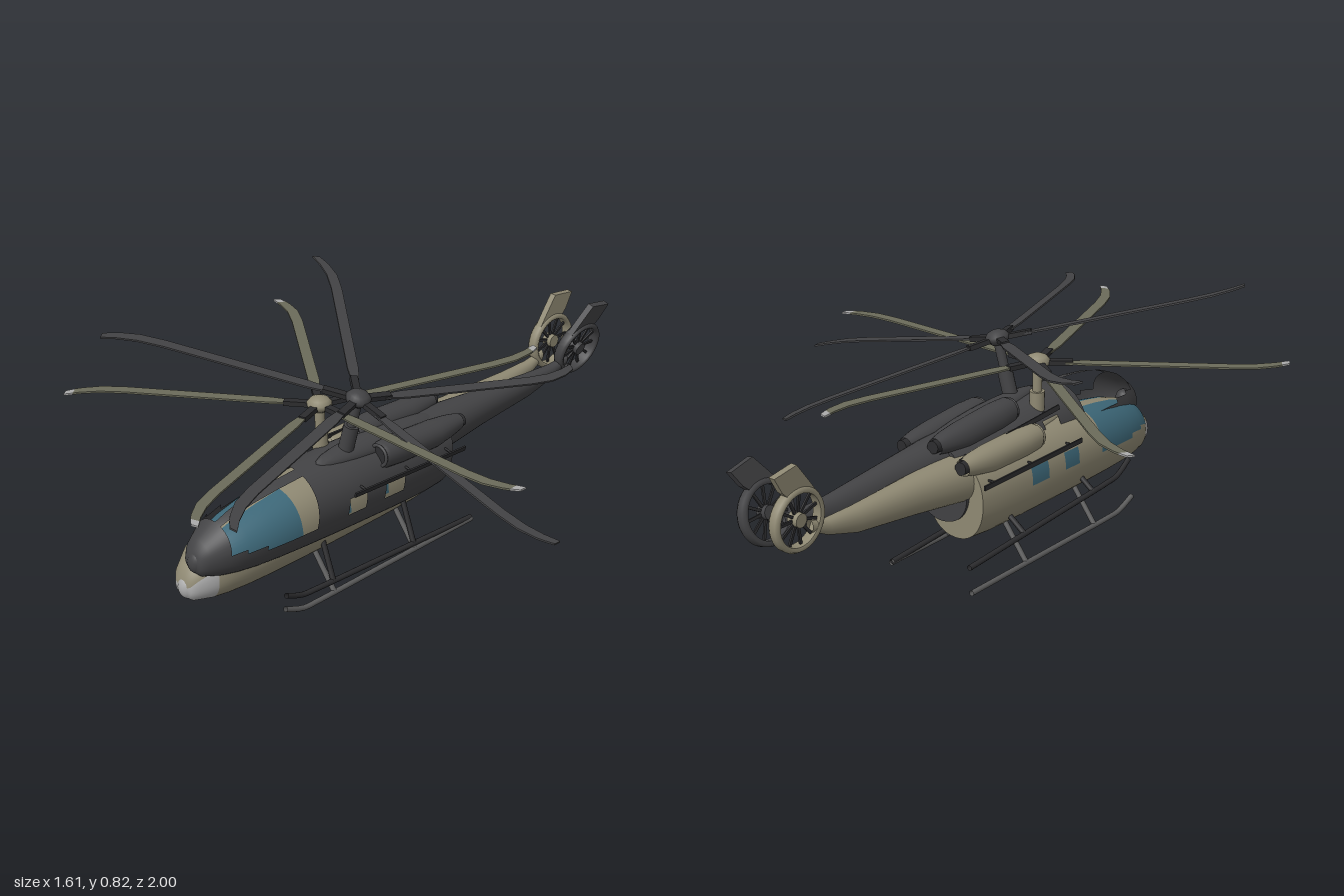
import * as THREE from 'three';

const mat = (name, color, side = THREE.DoubleSide) => {
  const m = new THREE.MeshStandardMaterial({ color, side });
  m.name = name;
  return m;
};

function add(parent, name, geometry, material, x = 0, y = 0, z = 0) {
  const mesh = new THREE.Mesh(geometry, material);
  mesh.name = name;
  mesh.position.set(x, y, z);
  parent.add(mesh);
  return mesh;
}

// Round bar between two points
function bar(parent, name, a, b, r, material, sides = 10) {
  const p = new THREE.Vector3(...a), q = new THREE.Vector3(...b);
  const d = q.clone().sub(p);
  const m = add(parent, name, new THREE.CylinderGeometry(r, r, d.length(), sides), material);
  m.position.copy(p).add(q).multiplyScalar(0.5);
  m.quaternion.setFromUnitVectors(new THREE.Vector3(0, 1, 0), d.normalize());
  return m;
}

// Skin over sections [z, bottom, top, halfWidth] running front to back;
// classify(z, angle above the side in degrees) picks the material, -1 leaves a hole
function loft(sections, n, classify = () => 0) {
  const pos = [], lists = [[], [], []];
  for (const [z, yb, yt, hw] of sections) {
    for (let j = 0; j < n; j++) {
      const t = (j / n) * Math.PI * 2, c = Math.cos(t), s = Math.sin(t);
      const e = (v) => Math.sign(v) * Math.abs(v) ** 0.92;
      pos.push(hw * e(c), (yb + yt) / 2 + ((yt - yb) / 2) * e(s), z);
    }
  }
  for (let i = 0; i < sections.length - 1; i++) {
    for (let j = 0; j < n; j++) {
      let a = ((j + 0.5) / n) * 360;
      if (a > 90) a = a < 270 ? 180 - a : a - 360;
      const k = classify((sections[i][0] + sections[i + 1][0]) / 2, a);
      const p = i * n + j, q = i * n + (j + 1) % n;
      if (k >= 0) lists[k].push(p, p + n, q, q, p + n, q + n);
    }
  }
  const g = new THREE.BufferGeometry();
  g.setAttribute('position', new THREE.Float32BufferAttribute(pos, 3));
  g.setIndex(lists.flat());
  g.computeVertexNormals();
  let start = 0;
  lists.forEach((l, k) => {
    if (l.length) g.addGroup(start, l.length, k);
    start += l.length;
  });
  return g;
}

// Flat slice of a blade, from stations [radius, offset, half chord]
function bladeSlice(stations) {
  const edge = stations.map(([r, t, w]) => new THREE.Vector2(r, t + w));
  const back = stations.map(([r, t, w]) => new THREE.Vector2(r, t - w)).reverse();
  const g = new THREE.ExtrudeGeometry(new THREE.Shape([...edge, ...back]), { depth: 0.006, bevelEnabled: false });
  return g.rotateX(Math.PI / 2).translate(0, 0.003, 0);
}

const BLADE = [[0.09, 0.003, 0.011], [0.16, 0.004, 0.018], [0.62, 0.008, 0.018], [0.7, 0.002, 0.018],
  [0.76, -0.016, 0.016], [0.78, -0.026, 0.015], [0.806, -0.04, 0.012]];

const HULL = [[0.82, 0.165, 0.166, 0.001], [0.813, 0.137, 0.2, 0.036], [0.795, 0.12, 0.238, 0.056],
  [0.74, 0.108, 0.287, 0.085], [0.69, 0.103, 0.312, 0.1], [0.62, 0.1, 0.334, 0.113], [0.53, 0.099, 0.351, 0.122],
  [0.43, 0.098, 0.364, 0.126], [0.3, 0.098, 0.372, 0.128], [0.225, 0.098, 0.375, 0.128],
  [0.14, 0.098, 0.377, 0.127], [0.055, 0.098, 0.378, 0.126], [-0.1, 0.1, 0.38, 0.121],
  [-0.18, 0.105, 0.38, 0.112], [-0.18, 0.105, 0.38, 0.112], [-0.18, 0.24, 0.24, 0]];

const BOOM = [[-0.08, 0.22, 0.385, 0.09], [-0.2, 0.235, 0.388, 0.074], [-0.4, 0.263, 0.384, 0.052],
  [-0.64, 0.292, 0.378, 0.033], [-0.76, 0.328, 0.38, 0.022], [-0.8, 0.348, 0.388, 0.017], [-0.83, 0.36, 0.4, 0.013]];

const NACELLE = [[0.145, 0.332, 0.402, 0.035], [0.13, 0.324, 0.41, 0.043], [0.06, 0.32, 0.414, 0.047],
  [-0.1, 0.322, 0.412, 0.045], [-0.17, 0.335, 0.408, 0.036], [-0.22, 0.347, 0.4, 0.026]];

function hullClass(open) {
  return (z, a) => {
    const screen = z < 0.74 && z > 0.43 && a > (z > 0.69 ? 15 : z > 0.62 ? 7 : 0) && a < 82.5;
    const pane = ((z < 0.3 && z > 0.225) || (z < 0.14 && z > 0.055)) && a > 0 && a < 22.5;
    if (screen || pane) return open ? -1 : 1;
    return z > 0.74 && a < 22.5 ? 2 : 0;
  };
}

function helicopter(name, c) {
  const heli = new THREE.Group();
  heli.name = name;

  // Cabin with window panes or openings, and the tapering tail boom
  add(heli, 'fuselage', loft(HULL, 48, hullClass(!c.glass)), [c.body, c.glass || c.body, c.nose]);
  add(heli, 'tailBoom', loft(BOOM, 32), c.body);
  const chin = add(heli, 'chinSensor', new THREE.SphereGeometry(1, 20, 12), c.nose, 0, 0.165, 0.795);
  chin.scale.set(0.032, 0.04, 0.03);

  // Roof fairing under the mast
  const fairing = add(heli, 'roofFairing', new THREE.SphereGeometry(1, 24, 14), c.body, 0, 0.365, 0.08);
  fairing.scale.set(0.05, 0.035, 0.28);

  for (const s of [-1, 1]) {
    // Engine pods with dark intake and exhaust
    add(heli, 'engine', loft(NACELLE, 24), c.body, s * 0.064);
    const lip = add(heli, 'intakeLip', new THREE.TorusGeometry(0.034, 0.006, 8, 24), c.body, s * 0.064, 0.367, 0.145);
    lip.scale.z = 0.8;
    add(heli, 'intake', new THREE.CircleGeometry(0.034, 24), c.black, s * 0.064, 0.367, 0.143);
    bar(heli, 'exhaust', [s * 0.064, 0.373, -0.2], [s * 0.066, 0.376, -0.235], 0.021, c.black, 16);

    // Side rail held off the cabin
    add(heli, 'sideRail', new THREE.BoxGeometry(0.006, 0.016, 0.5), c.black, s * 0.134, 0.318, 0.05);
    for (const z of [0.25, 0.05, -0.14]) {
      bar(heli, 'railBracket', [s * 0.1, 0.315, z], [s * 0.134, 0.318, z], 0.004, c.black, 6);
    }

    // Landing skid with raised tip and two struts
    const curve = new THREE.CatmullRomCurve3([[0.55, 0.042], [0.51, 0.024], [0.47, 0.011], [0.42, 0.009],
      [0.1, 0.009], [-0.3, 0.009]].map(([z, y]) => new THREE.Vector3(s * 0.165, y, z)));
    add(heli, 'skid', new THREE.TubeGeometry(curve, 40, 0.009, 10), c.skid);
    for (const z of [0.34, -0.025]) {
      bar(heli, 'skidStrut', [s * 0.07, 0.135, z], [s * 0.165, 0.009, z], 0.009, c.skid);
    }
  }

  // Main rotor: mast, collar, hub and five blades
  const rotor = new THREE.Group();
  rotor.name = 'mainRotor';
  rotor.position.set(0, 0.577, 0.233);
  heli.add(rotor);
  bar(rotor, 'mast', [0, -0.22, 0], [0, 0.01, 0], 0.016, c.body, 16);
  bar(rotor, 'mastCollar', [0, -0.2, 0], [0, -0.1, 0], 0.025, c.body, 16);
  const hub = new THREE.LatheGeometry([[0, -0.022], [0.022, -0.02], [0.038, -0.006], [0.04, 0.008],
    [0.03, 0.02], [0.014, 0.027], [0, 0.028]].map((p) => new THREE.Vector2(...p)), 20);
  add(rotor, 'hub', hub, c.body);
  const main = bladeSlice(BLADE.slice(0, 6)), tip = bladeSlice(BLADE.slice(5));
  for (let i = 0; i < 5; i++) {
    const arm = new THREE.Group();
    arm.name = 'rotorBlade';
    arm.rotation.y = -(i * Math.PI * 2) / 5;
    rotor.add(arm);
    add(arm, 'bladeGrip', new THREE.BoxGeometry(0.085, 0.016, 0.024), c.black, 0.07);
    add(arm, 'blade', main, c.blade);
    add(arm, 'bladeTip', tip, c.tip);
  }

  // Ducted tail fan with spokes
  const fan = new THREE.Group();
  fan.name = 'tailFan';
  fan.position.set(0, 0.42, -0.88);
  fan.rotation.y = Math.PI / 2;
  heli.add(fan);
  const duct = new THREE.LatheGeometry([[0.082, -0.016], [0.094, -0.02], [0.1, -0.01], [0.1, 0.01],
    [0.094, 0.02], [0.082, 0.016], [0.082, -0.016]].map((p) => new THREE.Vector2(...p)), 40).rotateX(Math.PI / 2);
  add(fan, 'fanDuct', duct, c.body);
  add(fan, 'fanHub', new THREE.CylinderGeometry(0.022, 0.022, 0.036, 20).rotateX(Math.PI / 2), c.body);
  for (let i = 0; i < 11; i++) {
    const blade = add(fan, 'fanBlade', new THREE.BoxGeometry(0.07, 0.009, 0.006).translate(0.05, 0, 0), c.black);
    blade.rotation.z = (i * Math.PI * 2) / 11;
  }

  // Swept fin above the fan
  const fin = new THREE.Shape([[0.8, 0.475], [0.835, 0.525], [0.885, 0.592], [0.975, 0.578], [0.945, 0.525],
    [0.925, 0.505], [0.88, 0.51], [0.835, 0.495]].map((p) => new THREE.Vector2(...p)));
  const finGeo = new THREE.ExtrudeGeometry(fin, { depth: 0.022, bevelEnabled: false });
  add(heli, 'tailFin', finGeo.translate(0, 0, -0.011).rotateY(Math.PI / 2), c.body);
  return heli;
}

export function createModel() {
  const tan = mat('tan paint', 0x8f8973);
  const charcoal = mat('charcoal paint', 0x434345);
  const black = mat('black fittings', 0x2c2c2e);
  const teal = mat('teal glass', 0x3d6879);
  const grey = mat('pale grey', 0xababab);
  const olive = mat('olive blade', 0x6b6b5a);
  const steel = mat('skid grey', 0x5a5a5a);

  const model = new THREE.Group();
  model.name = 'helicopterPair';

  const first = helicopter('tanHelicopter', { body: tan, glass: teal, nose: grey, black, blade: olive, tip: grey, skid: steel });
  first.position.x = -0.107;

  // Second aircraft overlaps the first, banked and slightly nose-up
  const second = helicopter('charcoalHelicopter', { body: charcoal, glass: null, nose: charcoal, black, blade: charcoal, tip: charcoal, skid: black });
  second.position.set(-0.107, 0.062, 0);
  second.rotation.set(-0.056, 0, -0.245);

  model.add(first, second);
  return model;
}
